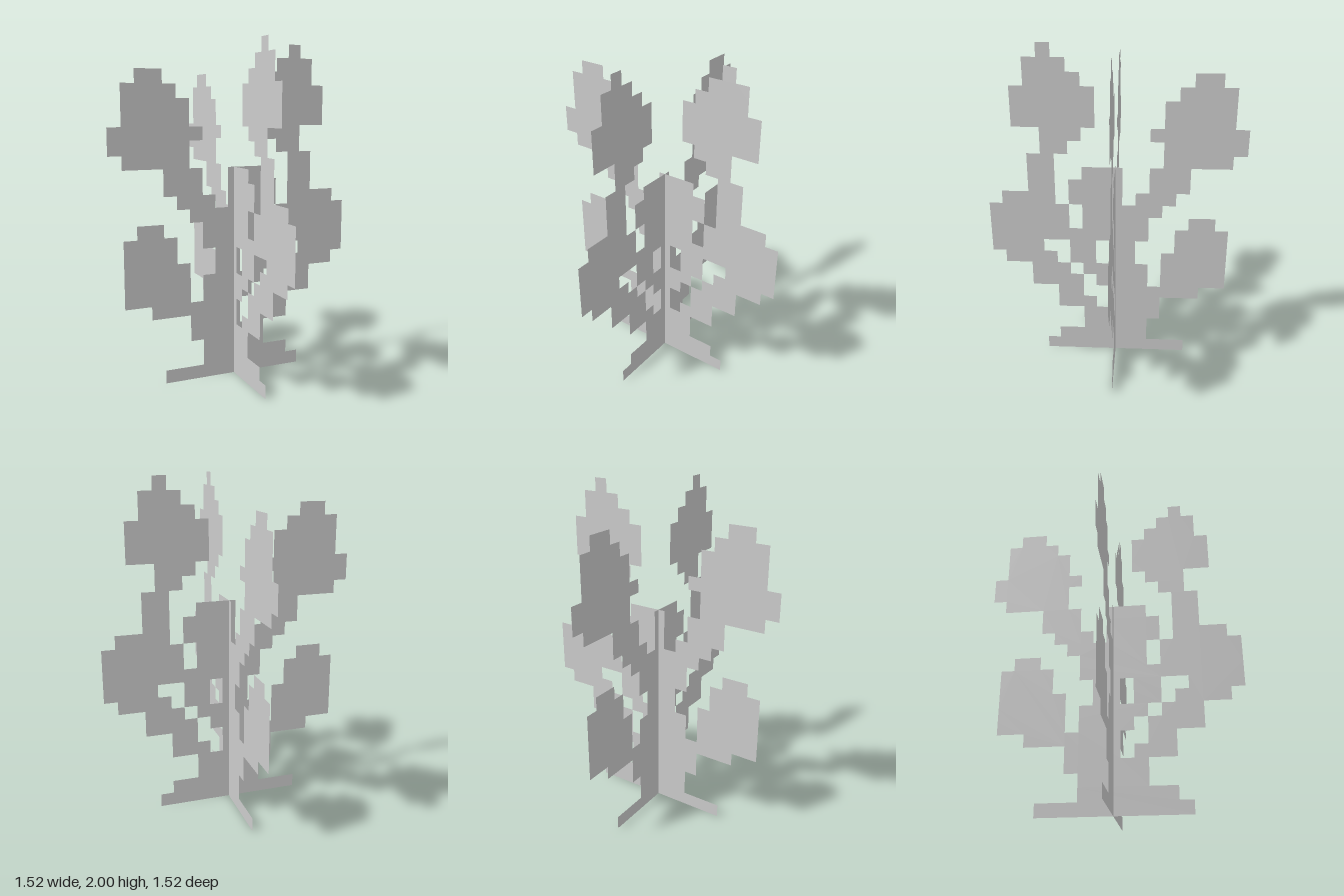
import * as THREE from 'three';

const CELL = 0.08; // size of one square step
const COLUMNS = 19;

// Each part: first row, then the [from, to] columns it fills row by row, going up.
const PARTS = {
  foot: [0, [[4, 15], [7, 14]]],
  lowerStem: [2, [[7, 12], [7, 12], [7, 10], [7, 10], [7, 11], [7, 12]]],
  stemForkA: [8, [[8, 10], [8, 10]]],
  stemForkB: [8, [[11, 13], [11, 13]]],
  upperStem: [10, [[7, 13], [7, 12], [7, 12], [9, 13], [9, 13], [9, 12]]],
  lowLeaf: [3, [[6, 7], [6, 7], [3, 7], [1, 6], [1, 6], [1, 6], [1, 5], [1, 5], [2, 4]]],
  highLeaf: [12, [[6, 7], [5, 8], [4, 7], [4, 7], [1, 6], [0, 6], [0, 7], [1, 6], [1, 6], [1, 5], [2, 4]]],
  sideLeaf: [4, [[11, 14], [12, 14], [12, 16], [13, 16], [14, 18], [15, 19], [13, 19], [13, 19], [13, 19],
    [14, 18], [14, 16], [14, 16], [14, 16]]],
  topLeaf: [17, [[13, 15], [12, 15], [11, 17], [11, 17], [11, 17], [12, 16], [13, 16], [14, 15]]],
};

// Stepped outline: up the right edges, then back down the left edges.
function steppedGeometry(firstRow, spans) {
  const points = [];
  const add = (column, row) => {
    const p = new THREE.Vector2((column - COLUMNS / 2) * CELL, row * CELL);
    points.push(p);
  };
  spans.forEach(([, to], i) => {
    add(to, firstRow + i);
    add(to, firstRow + i + 1);
  });
  for (let i = spans.length - 1; i >= 0; i--) {
    add(spans[i][0], firstRow + i + 1);
    add(spans[i][0], firstRow + i);
  }
  const outline = points.filter((p, i) => i === 0 || p.distanceTo(points[i - 1]) > 1e-6);
  return new THREE.ShapeGeometry(new THREE.Shape(outline));
}

export function createModel() {
  const model = new THREE.Group();
  model.name = 'plant';
  const material = new THREE.MeshStandardMaterial({ color: 0xcccccc, side: THREE.DoubleSide });

  // Two identical flat cut-outs crossing at the stem
  ['plantCard', 'crossedPlantCard'].forEach((name, i) => {
    const card = new THREE.Group();
    card.name = name;
    for (const [part, [row, spans]] of Object.entries(PARTS)) {
      const mesh = new THREE.Mesh(steppedGeometry(row, spans), material);
      mesh.name = part;
      card.add(mesh);
    }
    card.rotation.y = -i * Math.PI / 2;
    model.add(card);
  });
  return model;
}
